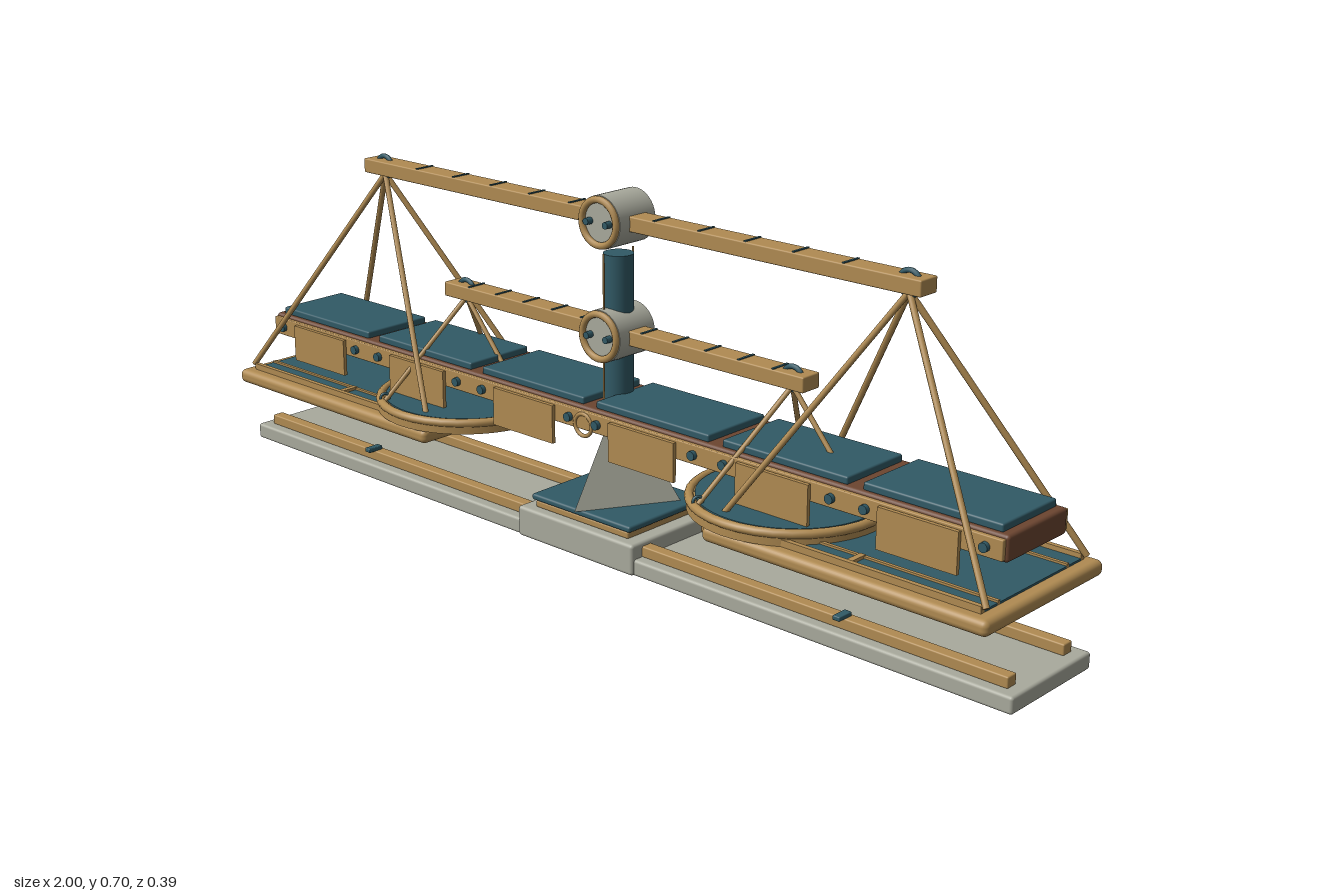
import * as THREE from 'three';
import { RoundedBoxGeometry } from 'three/addons/geometries/RoundedBoxGeometry.js';

const material = (name, color) => {
  const m = new THREE.MeshStandardMaterial({ color });
  m.name = name;
  return m;
};

export function createModel() {
  const model = new THREE.Group();
  model.name = 'balancePlatforms';
  const brass = material('brass', 0xb08b52);
  const teal = material('teal', 0x315a66);
  const stone = material('stone', 0xa9aa9d);
  const brown = material('brown', 0x6c4530);

  const add = (name, geometry, mat, x = 0, y = 0, z = 0) => {
    const mesh = new THREE.Mesh(geometry, mat);
    mesh.name = name;
    mesh.position.set(x, y, z);
    model.add(mesh);
    return mesh;
  };
  // Box given by its centre x/z and its bottom and top heights
  const box = (name, mat, w, y0, y1, d, x = 0, z = 0, r = 0) => add(name,
    r ? new RoundedBoxGeometry(w, y1 - y0, d, 3, r) : new THREE.BoxGeometry(w, y1 - y0, d),
    mat, x, (y0 + y1) / 2, z);
  const cylinder = (name, mat, r0, r1, y0, y1, x = 0, z = 0, sides = 32) =>
    add(name, new THREE.CylinderGeometry(r1, r0, y1 - y0, sides), mat, x, (y0 + y1) / 2, z);
  const ring = (name, mat, R, r, x, y, z) =>
    add(name, new THREE.TorusGeometry(R, r, 10, 36), mat, x, y, z);
  // Round rod between two points
  const rod = (name, mat, a, b, r) => {
    const from = new THREE.Vector3(...a), to = new THREE.Vector3(...b);
    const dir = to.clone().sub(from);
    const mesh = add(name, new THREE.CylinderGeometry(r, r, dir.length(), 10), mat);
    mesh.position.copy(from).add(to).multiplyScalar(0.5);
    mesh.quaternion.setFromUnitVectors(new THREE.Vector3(0, 1, 0), dir.normalize());
    return mesh;
  };

  // Base slab, rails and plinth
  box('baseSlab', stone, 2, 0, 0.033, 0.244, 0, 0, 0.006);
  box('plinth', stone, 0.31, 0, 0.063, 0.256, 0, 0, 0.007);
  for (const z of [-0.086, 0.086]) box('baseRail', brass, 1.95, 0.032, 0.054, 0.026, 0, z, 0.003);
  for (const x of [-0.63, 0.63]) box('railClip', teal, 0.016, 0.053, 0.062, 0.036, x, 0.097, 0.002);
  box('brassFooting', brass, 0.25, 0.062, 0.077, 0.214, 0, 0, 0.004);
  box('tealFooting', teal, 0.265, 0.077, 0.09, 0.222, 0, 0, 0.005);

  // Three-sided pedestal and column
  const pedestal = new THREE.CylinderGeometry(0.035, 0.125, 0.15, 3).toNonIndexed();
  pedestal.computeVertexNormals();
  add('pedestal', pedestal, stone, 0, 0.165, 0);
  cylinder('column', teal, 0.03, 0.03, 0.09, 0.585);
  for (const z of [-0.041, 0.041]) rod('columnGuide', brass, [0, 0.21, z], [0, 0.59, z], 0.002);

  // Beams with their hubs, bands and shackles
  const beams = [
    { y: 0.653, half: 0.715, hang: 0.675, step: 0.11 },
    { y: 0.429, half: 0.472, hang: 0.43, step: 0.08 },
  ];
  for (const { y, half, hang, step } of beams) {
    box('beam', brass, half * 2, y - 0.015, y + 0.015, 0.048, 0, 0, 0.003);
    const drum = cylinder('hubDrum', stone, 0.052, 0.052, 0, 0.098, 0, 0, 40);
    drum.rotation.x = Math.PI / 2;
    drum.position.set(0, y, 0.002);
    ring('hubRing', brass, 0.0445, 0.007, 0, y, 0.054);
    for (const s of [-1, 1]) {
      const bolt = cylinder('hubBolt', teal, 0.007, 0.007, 0, 0.016, 0, 0, 12);
      bolt.rotation.x = Math.PI / 2;
      bolt.position.set(s * 0.025, y, 0.057);
      for (let k = 1; k <= 5; k++) {
        box('beamBand', teal, 0.005, y + 0.013, y + 0.017, 0.044, s * k * step);
      }
      ring('shackle', teal, 0.022, 0.005, s * hang, y, 0);
    }
  }

  // Main deck with top slabs
  box('deckCore', brown, 1.91, 0.247, 0.296, 0.18, 0, 0, 0.007);
  for (const z of [-0.094, 0.094]) {
    box('deckRail', brass, 1.9, 0.252, 0.29, 0.01, 0, z, 0.002);
    ring('deckRing', brass, 0.022, 0.004, 0, 0.262, z * 1.05);
  }
  for (let i = 0; i < 6; i++) {
    const x = (i - 2.5) * 0.318;
    box('deckSlab', teal, 0.285, 0.294, 0.31, 0.162, x, 0, 0.004);
    box('hangingPanel', brass, 0.166, 0.208, 0.286, 0.008, x * 0.99, 0.105);
    for (const s of [-1, 1]) {
      const bolt = cylinder('deckBolt', teal, 0.009, 0.009, 0, 0.012, 0, 0, 12);
      bolt.rotation.x = Math.PI / 2;
      bolt.position.set(x + s * 0.122, 0.271, 0.102);
    }
  }

  for (const side of [-1, 1]) {
    // Long platform hung from the upper beam
    const px = side * 0.675;
    box('longPlatform', brass, 0.61, 0.15, 0.18, 0.362, px, 0, 0.012);
    box('longPlatformDeck', teal, 0.555, 0.179, 0.184, 0.305, px);
    for (const z of [-0.152, 0.152]) box('platformRail', brass, 0.555, 0.179, 0.193, 0.01, px, z);
    for (const z of [-0.126, 0.126]) box('platformBatten', brass, 0.012, 0.18, 0.19, 0.045, px, z);
    for (const z of [-0.105, 0.105]) box('platformStrip', brass, 0.555, 0.18, 0.188, 0.007, px, z);
    for (const dx of [-0.285, 0.285]) for (const dz of [-0.153, 0.153]) {
      rod('longHanger', brass, [px, 0.637, 0], [px + dx, 0.19, dz], 0.006);
    }

    // Round platform hung from the lower beam
    const cx = side * 0.43;
    cylinder('roundPlatform', brass, 0.19, 0.19, 0.18, 0.205, cx, 0, 56);
    cylinder('roundPlatformDeck', teal, 0.174, 0.174, 0.203, 0.208, cx, 0, 56);
    ring('roundRim', brass, 0.185, 0.009, cx, 0.202, 0).rotation.x = Math.PI / 2;
    for (let i = 0; i < 3; i++) {
      const a = i * Math.PI * 2 / 3;
      const x = cx + 0.178 * Math.cos(a), z = 0.178 * Math.sin(a);
      rod('roundHanger', brass, [cx, 0.415, 0], [x, 0.205, z], 0.005);
      ring('eyelet', teal, 0.009, 0.003, x, 0.212, z).rotation.y = -a;
    }
  }
  return model;
}
